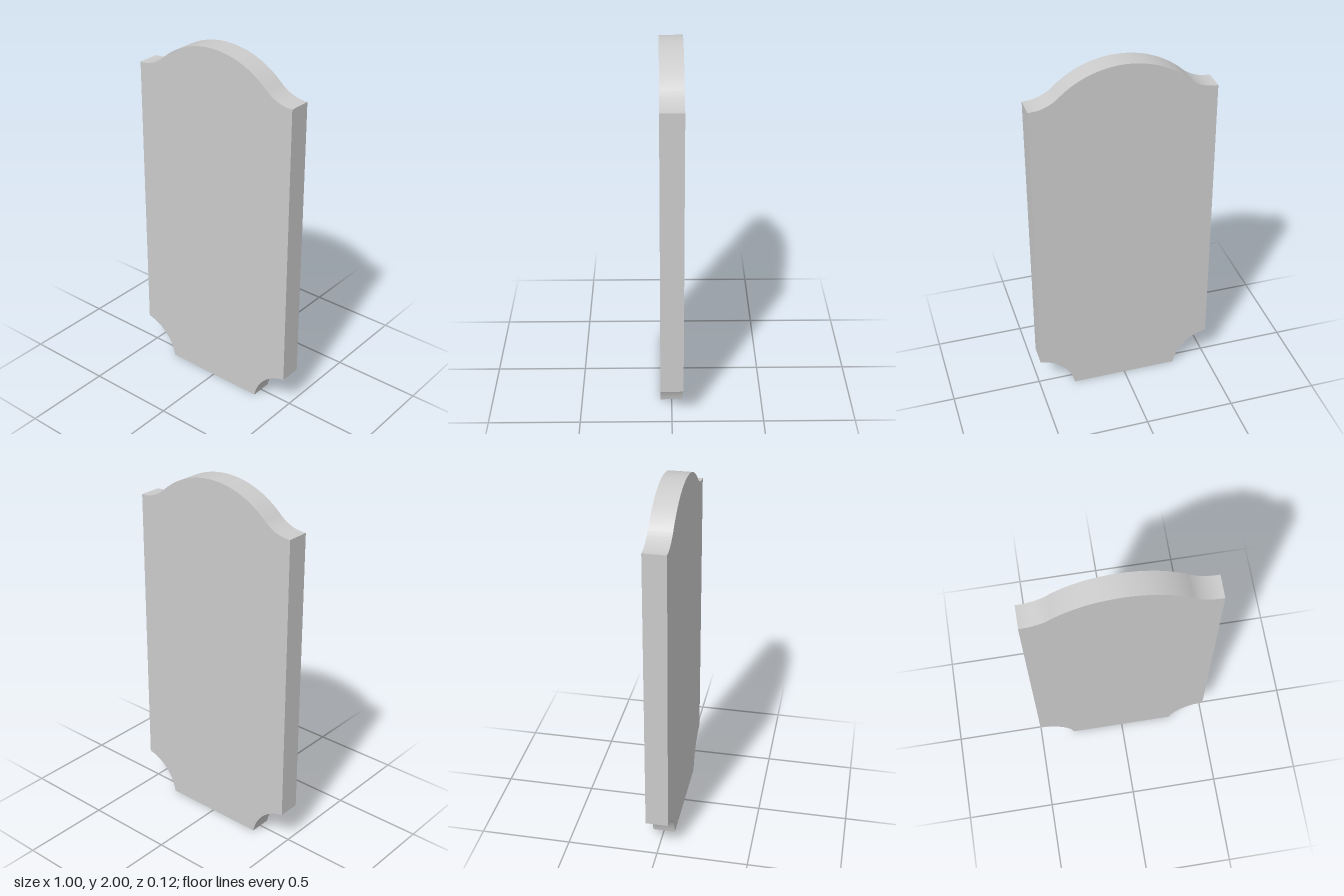
import * as THREE from 'three';
import { toCreasedNormals } from 'three/addons/utils/BufferGeometryUtils.js';

const HALF_WIDTH = 0.498;
const DEPTH = 0.124;

// Right half of the outline, from bottom to crown
function halfOutline() {
  const points = [];
  const arc = (cx, cy, r, from, to, n) => {
    for (let i = 0; i <= n; i++) {
      const a = from + (to - from) * i / n;
      points.push(new THREE.Vector2(cx + r * Math.cos(a), cy + r * Math.sin(a)));
    }
  };

  // scooped bottom corner
  const nx = 0.538, ny = -0.04;
  arc(nx, ny, Math.hypot(0.04, 0.238), Math.atan2(0.04, -0.236),
    Math.atan2(0.238, HALF_WIDTH - nx), 24);
  points[0].y = 0;

  // concave shoulder flowing into the domed crown
  const crownR = 0.504, crownY = 2 - crownR;
  const shoulderR = 0.223, sx = 0.49, sy = 1.81 + shoulderR;
  const meet = Math.atan2(sy - crownY, sx);
  arc(sx, sy, shoulderR, -Math.acos((HALF_WIDTH - sx) / shoulderR), meet - Math.PI, 20);
  points.pop();
  arc(0, crownY, crownR, meet, Math.PI / 2, 32);
  return points;
}

export function createModel() {
  const group = new THREE.Group();
  group.name = 'shapedPanel';

  // mirror the half outline, sharing the single crown point
  const right = halfOutline();
  const left = right.slice(0, -1).reverse().map(p => new THREE.Vector2(-p.x, p.y));
  const shape = new THREE.Shape([...right, ...left]);

  const geometry = new THREE.ExtrudeGeometry(shape, { depth: DEPTH, bevelEnabled: false });
  geometry.translate(0, 0, -DEPTH / 2);

  const panel = new THREE.Mesh(
    toCreasedNormals(geometry, 0.4),
    new THREE.MeshStandardMaterial({ color: 0xcccccc })
  );
  panel.name = 'panel';
  group.add(panel);
  return group;
}
